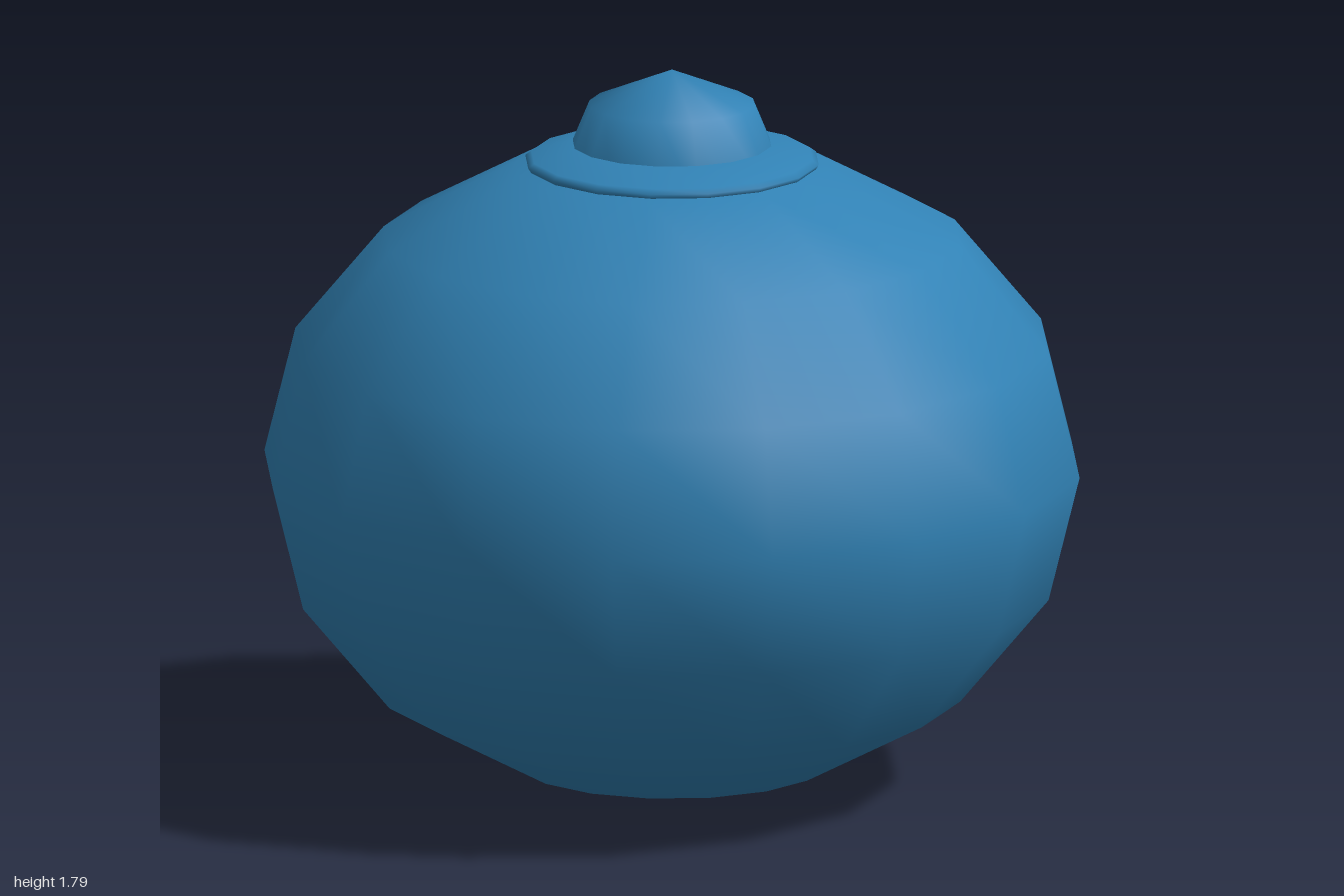
import * as THREE from 'three';

export function createModel() {
  const model = new THREE.Group();
  const blue = new THREE.MeshStandardMaterial({ color: 0x3182b5 });
  blue.name = 'blue';

  const add = (name, geometry, y = 0) => {
    const mesh = new THREE.Mesh(geometry, blue);
    mesh.name = name;
    mesh.position.y = y;
    model.add(mesh);
    return mesh;
  };

  // Squashed round body
  add('body', new THREE.SphereGeometry(1, 16, 8).scale(1, 0.805, 1), 0.805);

  // Thin sloping collar resting on the body
  const profile = [[0.33, 1.548], [0.352, 1.552], [0.36, 1.565], [0.345, 1.576], [0.235, 1.61], [0.12, 1.612]]
    .map(([r, y]) => new THREE.Vector2(r, y));
  add('collar', new THREE.LatheGeometry(profile, 16));

  // Domed knob, half sunk into the body
  add('knob', new THREE.SphereGeometry(0.286, 16, 4), 1.505);

  return model;
}
